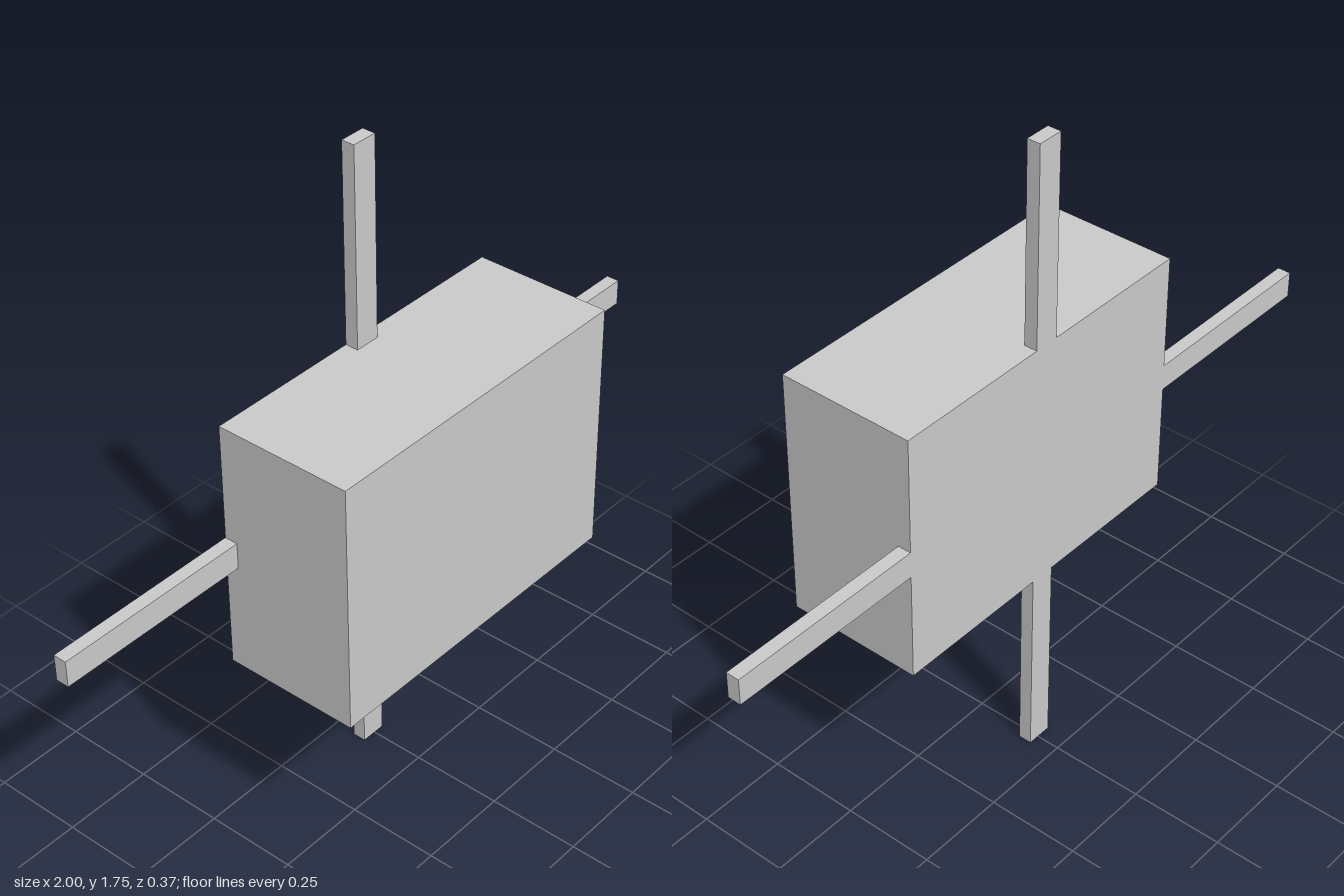
import * as THREE from 'three';

const material = new THREE.MeshStandardMaterial({ color: 0xcccccc, flatShading: true });

// Adds a box given by its minimum and maximum corners
function addBox(group, name, min, max) {
  const lo = new THREE.Vector3(...min);
  const hi = new THREE.Vector3(...max);
  const size = hi.clone().sub(lo);
  const mesh = new THREE.Mesh(new THREE.BoxGeometry(size.x, size.y, size.z), material);
  mesh.position.copy(lo).add(hi).multiplyScalar(0.5);
  mesh.name = name;
  group.add(mesh);
}

export function createModel() {
  const group = new THREE.Group();
  group.name = 'boxWithArms';

  // Main block
  const left = 0.463, right = -0.465, bottom = 0.538, top = 1.219;
  const back = -0.186, front = 0.186;
  addBox(group, 'body', [right, bottom, back], [left, top, front]);

  // Four thin arms, flush with the back of the block
  const armFront = -0.15;
  const armX = [-0.04, 0.03];
  const armY = [0.836, 0.907];
  addBox(group, 'topArm', [armX[0], top, back], [armX[1], 1.755, armFront]);
  addBox(group, 'bottomArm', [armX[0], 0, back], [armX[1], bottom, armFront]);
  addBox(group, 'leftArm', [left, armY[0], back], [1, armY[1], armFront]);
  addBox(group, 'rightArm', [-1, armY[0], back], [right, armY[1], armFront]);

  return group;
}
